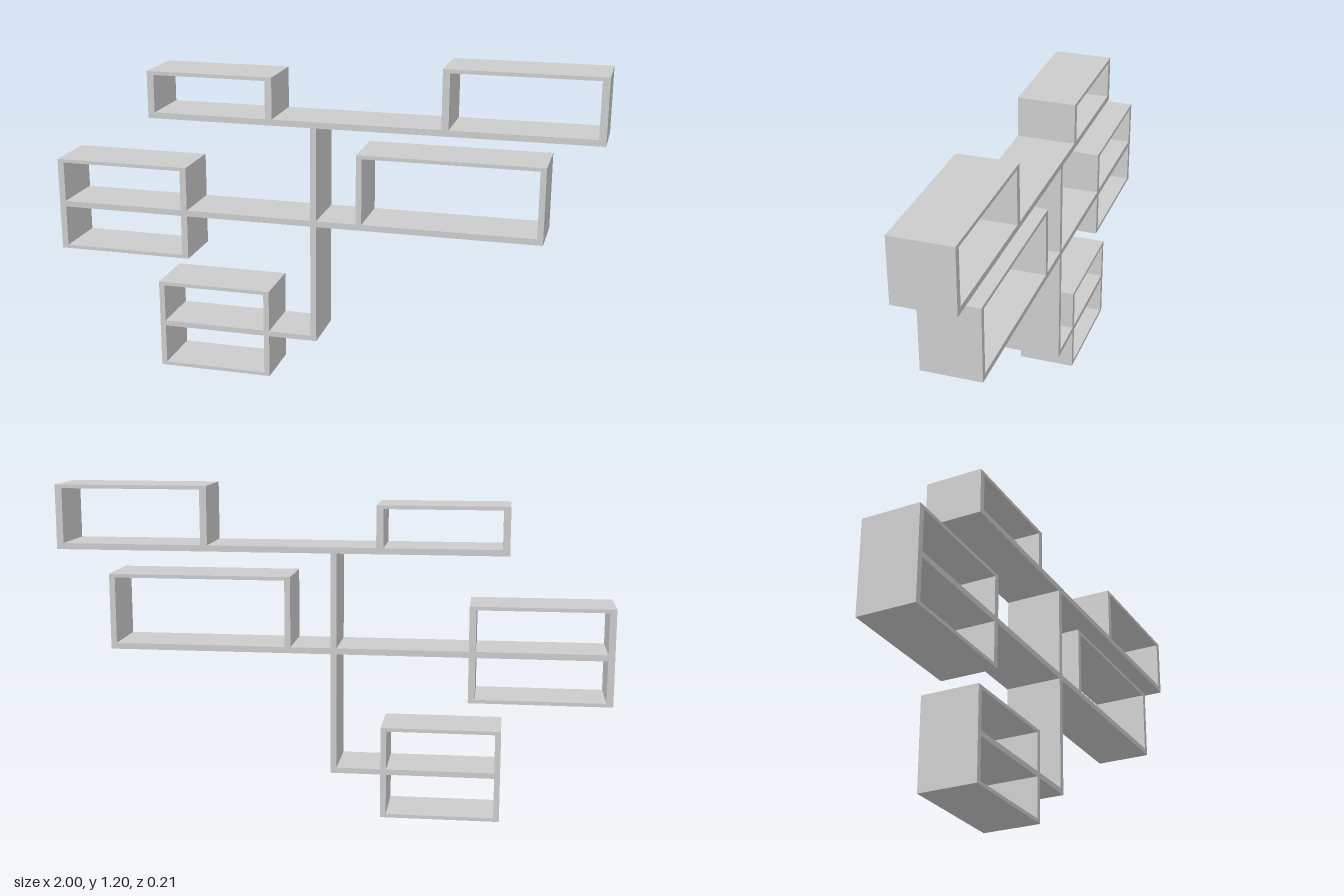
import * as THREE from 'three';

const DEPTH = 0.214;
const material = new THREE.MeshStandardMaterial({ color: 0xcccccc, flatShading: true });

// One board spanning the full depth, given by its front rectangle
function board(parent, name, x0, x1, y0, y1) {
  const mesh = new THREE.Mesh(new THREE.BoxGeometry(x1 - x0, y1 - y0, DEPTH), material);
  mesh.position.set((x0 + x1) / 2, (y0 + y1) / 2, 0);
  mesh.name = name;
  parent.add(mesh);
}

// Two side panels and a thin top; the bottom is a shelf, or a thin panel when closed
function cubby(parent, { name, x0, x1, y0, y1, side, closed }) {
  const group = new THREE.Group();
  group.name = name;
  const thin = 0.013;
  board(group, 'leftmostPanel', x0, x0 + side, y0, y1);
  board(group, 'rightmostPanel', x1 - side, x1, y0, y1);
  board(group, 'topPanel', x0 + side, x1 - side, y1 - thin, y1);
  if (closed) board(group, 'bottomPanel', x0 + side, x1 - side, y0, y0 + thin);
  parent.add(group);
}

export function createModel() {
  const model = new THREE.Group();
  model.name = 'wallShelf';

  // Central upright, between the lower and upper shelves
  board(model, 'lowerUpright', -0.02, 0.002, 0.182, 0.604);
  board(model, 'upperUpright', -0.02, 0.002, 0.626, 0.967);

  // Long shelves, split where cubby sides pass through them
  board(model, 'upperShelf', -0.627, 1, 0.967, 0.989);
  board(model, 'middleShelf', -0.515, 0.81, 0.604, 0.626);
  board(model, 'middleCubbyShelf', -0.976, -0.515, 0.604, 0.626);
  board(model, 'lowerShelf', -0.2, 0.002, 0.162, 0.182);
  board(model, 'lowerCubbyShelf', -0.591, -0.2, 0.162, 0.182);

  // Cubbies standing on or wrapped around the shelves
  const cubbies = [
    { name: 'upperLeftCubby', x0: -0.627, x1: -0.16, y0: 0.989, y1: 1.139, side: 0.025 },
    { name: 'upperRightCubby', x0: 0.446, x1: 1, y0: 0.989, y1: 1.2, side: 0.025 },
    { name: 'middleRightCubby', x0: 0.147, x1: 0.81, y0: 0.626, y1: 0.88, side: 0.021 },
    { name: 'middleDoubleCubby', x0: -1, x1: -0.491, y0: 0.439, y1: 0.788, side: 0.024, closed: true },
    { name: 'lowerDoubleCubby', x0: -0.612, x1: -0.18, y0: 0, y1: 0.337, side: 0.021, closed: true },
  ];
  cubbies.forEach((c) => cubby(model, c));

  return model;
}
